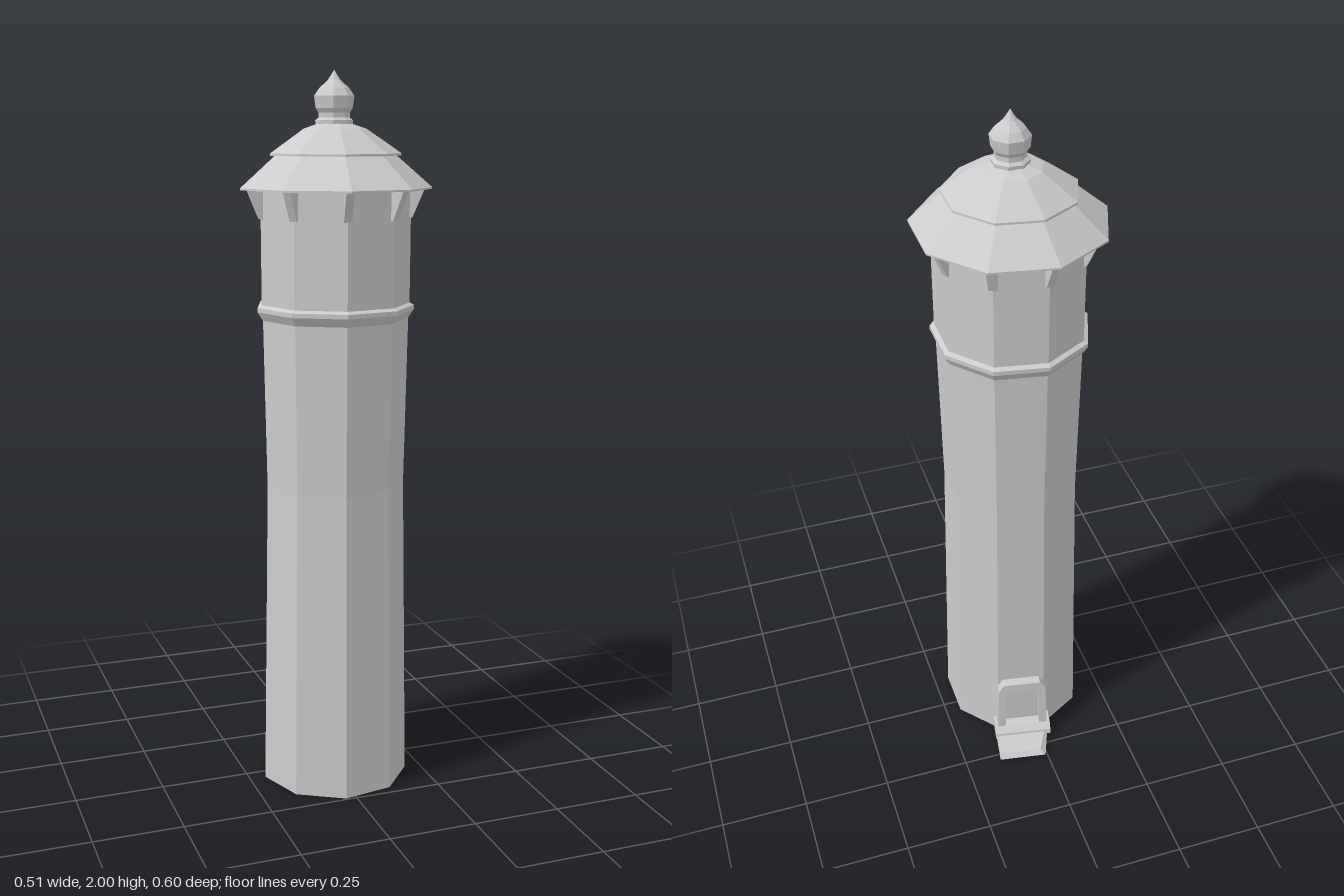
import * as THREE from 'three';

const SIDES = 9;
const material = new THREE.MeshStandardMaterial({
  color: 0xcccccc, flatShading: true, side: THREE.DoubleSide,
});

function add(parent, name, geometry) {
  const mesh = new THREE.Mesh(geometry, material);
  mesh.name = name;
  parent.add(mesh);
  return mesh;
}

// Faceted turned part; points are [radius, height], bottom to top
function turned(points, sides, startAngle) {
  const profile = points.map(([r, y]) => new THREE.Vector2(r, y));
  return new THREE.LatheGeometry(profile, sides, startAngle);
}

const polygon = (points) => new THREE.Shape(points.map(([x, y]) => new THREE.Vector2(x, y)));

const extrude = (shape, depth) =>
  new THREE.ExtrudeGeometry(shape, { depth, bevelEnabled: false });

// Doorway built facing local +z, measured from the tower axis
function createDoorway() {
  const door = new THREE.Group();
  door.name = 'doorway';

  // Frame with clipped top corners, leaning back slightly towards the top
  const outline = polygon([
    [-0.077, 0.02], [0.077, 0.02], [0.072, 0.19], [0.055, 0.213], [-0.055, 0.213], [-0.072, 0.19],
  ]);
  outline.holes.push(new THREE.Path([
    [-0.052, 0.04], [-0.05, 0.17], [-0.04, 0.188], [0.04, 0.188], [0.05, 0.17], [0.052, 0.04],
  ].map(([x, y]) => new THREE.Vector2(x, y))));
  const frame = extrude(outline, 0.055);
  frame.translate(0, 0, 0.18);
  const fp = frame.attributes.position;
  for (let i = 0; i < fp.count; i++) fp.setZ(i, fp.getZ(i) - 0.06 * fp.getY(i));
  frame.computeVertexNormals();
  add(door, 'doorFrame', frame);

  const panel = new THREE.BoxGeometry(0.11, 0.16, 0.03);
  panel.translate(0, 0.115, 0.19);
  add(door, 'doorPanel', panel);

  // Sloped sill across the foot of the frame
  const sill = extrude(polygon([[0.18, 0.012], [0.253, 0.012], [0.25, 0.028], [0.232, 0.045], [0.18, 0.045]]), 0.172);
  sill.rotateY(-Math.PI / 2);
  sill.translate(0.086, 0, 0);
  add(door, 'doorSill', sill);

  // Skewed doorstep with a sloped front lip
  const step = extrude(polygon([[0.09, -0.18], [-0.083, -0.18], [-0.083, -0.333], [0.058, -0.332]]), 0.014);
  step.rotateX(-Math.PI / 2);
  step.translate(0, 0.006, 0);
  const sp = step.attributes.position;
  for (let i = 0; i < sp.count; i++) {
    if (sp.getY(i) > 0.01 && sp.getZ(i) > 0.3) {
      sp.setZ(i, sp.getZ(i) - 0.013);
      if (sp.getX(i) > 0) sp.setX(i, sp.getX(i) - 0.014);
    }
  }
  step.computeVertexNormals();
  add(door, 'doorStep', step);

  door.rotation.y = THREE.MathUtils.degToRad(170);
  return door;
}

export function createModel() {
  const tower = new THREE.Group();
  tower.name = 'tower';
  tower.position.set(0.007, 0, 0.037);
  const start = -Math.PI / 2;

  // Shaft with a slight waist, open underneath
  add(tower, 'shaft', turned([[0.211, 0], [0.196, 0.87], [0.205, 1.345]], SIDES, start));
  add(tower, 'upperStorey', turned([[0.208, 1.37], [0.209, 1.69]], SIDES, start));
  add(tower, 'bandCourse', turned(
    [[0.204, 1.335], [0.22, 1.36], [0.22, 1.372], [0.206, 1.38]], SIDES, start));

  // Two-tier roof with overhanging eaves
  add(tower, 'lowerRoof', turned(
    [[0.2, 1.69], [0.265, 1.687], [0.265, 1.692], [0.168, 1.776]], SIDES, start));
  add(tower, 'upperRoof', turned(
    [[0.16, 1.776], [0.181, 1.776], [0.181, 1.782], [0.087, 1.846], [0.045, 1.86]], SIDES, start));

  // Onion-shaped finial
  add(tower, 'finial', turned([
    [0.05, 1.852], [0.051, 1.868], [0.042, 1.875], [0.042, 1.888], [0.05, 1.9],
    [0.054, 1.932], [0.04, 1.952], [0.018, 1.972], [0.009, 1.985], [0, 2],
  ], 8, Math.PI / 8));

  // Brackets under the eaves, one at each corner
  const bracket = extrude(polygon([[0.195, 1.61], [0.212, 1.61], [0.245, 1.688], [0.195, 1.688]]), 0.022);
  bracket.translate(0, 0, -0.011);
  for (let i = 0; i < SIDES; i++) {
    add(tower, 'eaveBracket', bracket).rotation.y = Math.PI + (i * 2 * Math.PI) / SIDES;
  }

  tower.add(createDoorway());

  const model = new THREE.Group();
  model.name = 'waterTower';
  model.add(tower);
  return model;
}
